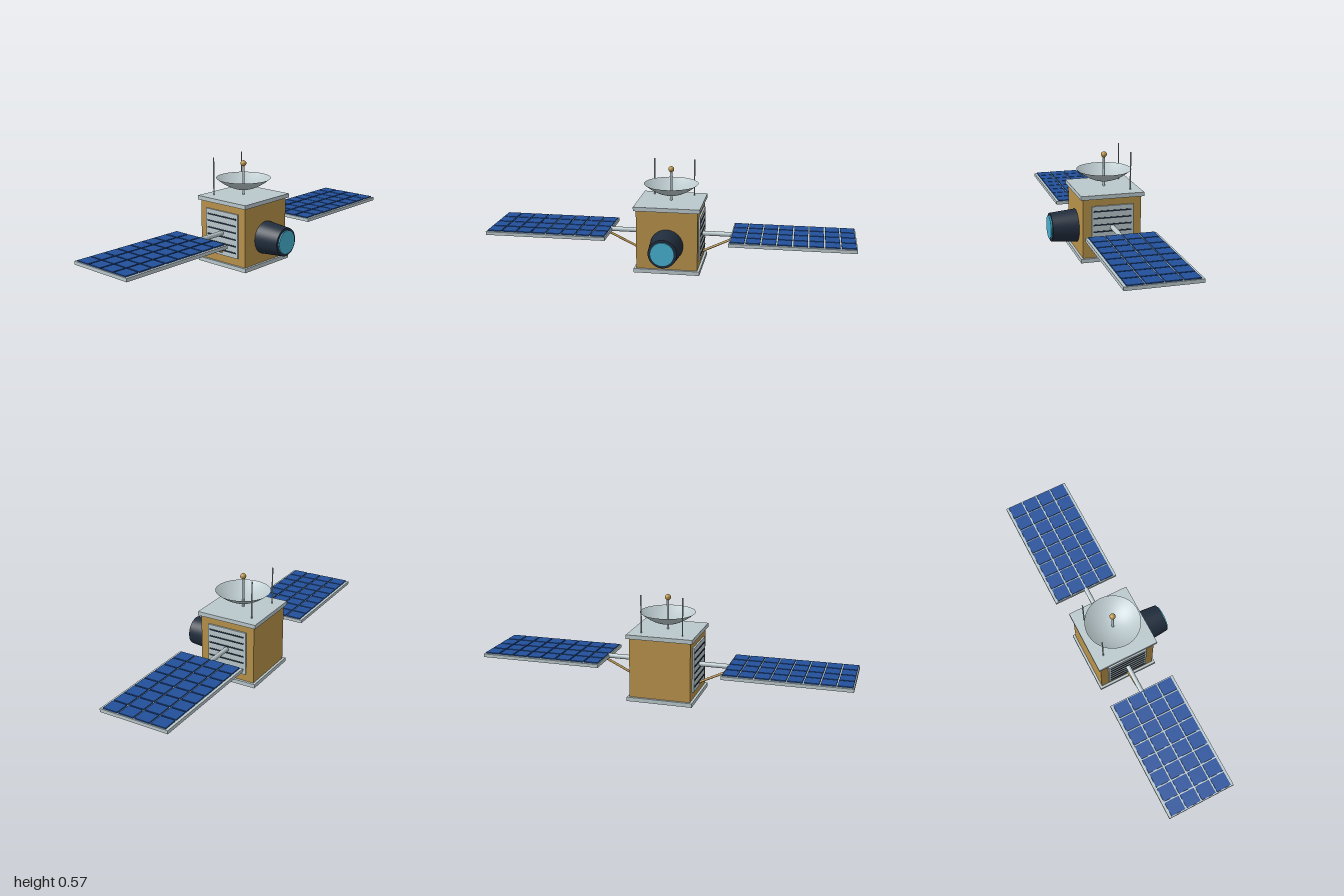
import * as THREE from 'three';

export function createModel() {
  const model = new THREE.Group();
  const paint = (name, color) => {
    const m = new THREE.MeshStandardMaterial({ color });
    m.name = name;
    return m;
  };
  const grey = paint('pale grey', 0xbac8cc);
  const gold = paint('gold foil', 0xb8924a);
  const navy = paint('dark navy', 0x212d3d);
  const blue = paint('solar blue', 0x22509a);
  const cyan = paint('lens cyan', 0x46b0d0);
  const dishGrey = grey.clone();
  dishGrey.name = 'dish grey';
  dishGrey.side = THREE.DoubleSide;

  const Z = -0.058; // centre line of the body

  const add = (name, geometry, material, x, y, z, parent = model) => {
    const mesh = new THREE.Mesh(geometry, material);
    mesh.name = name;
    mesh.position.set(x, y, z);
    parent.add(mesh);
    return mesh;
  };
  const box = (name, w, h, d, material, x, y, z, parent) =>
    add(name, new THREE.BoxGeometry(w, h, d), material, x, y, z, parent);

  // Round bar between two points
  const rod = (name, a, b, r, material, parent) => {
    const from = new THREE.Vector3(...a), to = new THREE.Vector3(...b);
    const dir = to.clone().sub(from);
    const mid = from.clone().add(to).multiplyScalar(0.5);
    const mesh = add(name, new THREE.CylinderGeometry(r, r, dir.length(), 20), material, mid.x, mid.y, mid.z, parent);
    mesh.quaternion.setFromUnitVectors(new THREE.Vector3(0, 1, 0), dir.normalize());
    return mesh;
  };

  // Body with top and bottom plates
  box('body', 0.332, 0.326, 0.317, gold, 0, 0.184, Z);
  box('bottomPlate', 0.358, 0.022, 0.343, grey, 0, 0.011, Z);
  box('topPlate', 0.358, 0.022, 0.343, grey, 0, 0.356, Z);

  // Camera barrel and lens on the front
  add('cameraBarrel', new THREE.CylinderGeometry(0.077, 0.09, 0.146, 40), navy, 0, 0.156, 0.168).rotation.x = Math.PI / 2;
  add('cameraLens', new THREE.CylinderGeometry(0.064, 0.064, 0.012, 40), cyan, 0, 0.156, 0.243).rotation.x = Math.PI / 2;

  // Dish, feed mast and tip
  const profile = [];
  for (let i = 0; i <= 16; i++) {
    const t = i / 16;
    profile.push(new THREE.Vector2(0.148 * t, 0.065 * t * t));
  }
  add('dish', new THREE.LatheGeometry(profile, 48), dishGrey, 0, 0.396, Z);
  rod('feedMast', [0, 0.36, Z], [0, 0.53, Z], 0.0065, grey);
  add('feedTip', new THREE.SphereGeometry(0.016, 24, 16), gold, 0, 0.54, Z);

  for (const s of [1, -1]) {
    const side = new THREE.Group();
    side.name = s > 0 ? 'leftSide' : 'rightSide';
    model.add(side);

    // Whip antenna
    rod('antenna', [s * 0.112, 0.36, -0.173], [s * 0.112, 0.571, -0.173], 0.0036, grey, side);

    // Radiator panel with dark slots
    box('radiatorPanel', 0.012, 0.242, 0.228, grey, s * 0.169, 0.185, -0.059, side);
    for (let i = 0; i < 6; i++) {
      box('radiatorSlot', 0.006, 0.0075, 0.207, navy, s * 0.1745, 0.0925 + i * 0.0371, Z, side);
    }

    // Boom and diagonal brace
    rod('boom', [s * 0.16, 0.187, Z], [s * 0.34, 0.187, Z], 0.013, grey, side);
    rod('brace', [s * 0.163, 0.078, Z], [s * 0.37, 0.178, Z], 0.0065, gold, side);

    // Solar panel with a grid of cells
    box('solarPanel', 0.667, 0.018, 0.378, grey, s * 0.6665, 0.185, Z, side);
    for (let c = 0; c < 8; c++) {
      for (let r = 0; r < 4; r++) {
        box('solarCell', 0.0755, 0.006, 0.081, blue,
          s * 0.6665 + (c - 3.5) * 0.0828, 0.197, Z + (r - 1.5) * 0.0893, side);
      }
    }
  }
  return model;
}
